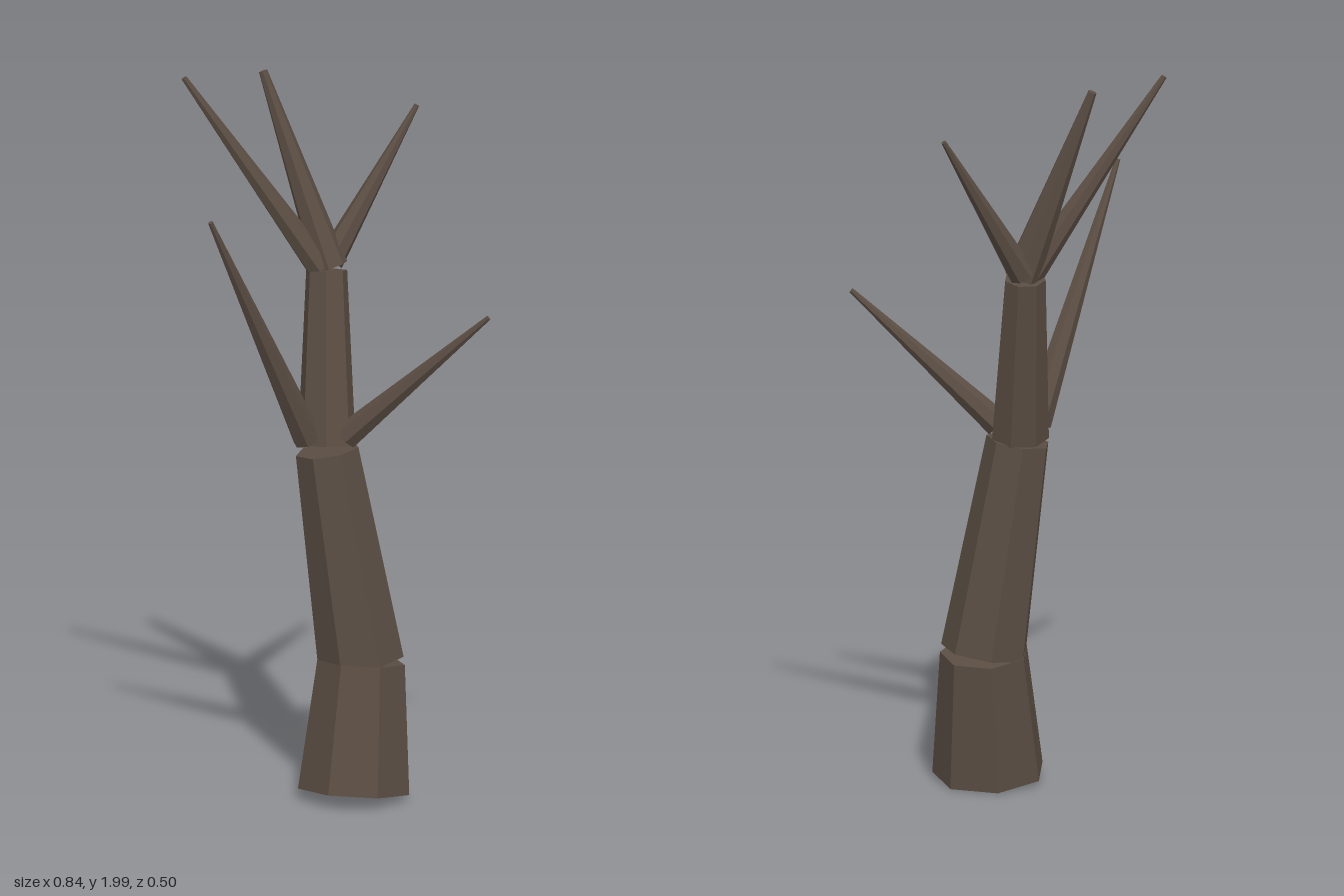
import * as THREE from 'three';

const SIDES = 7;
const UP = new THREE.Vector3(0, 1, 0);

// Tapered, capped limb running from one point to another
function limb(name, material, from, to, r0, r1, roll = 0) {
  const a = new THREE.Vector3(...from);
  const b = new THREE.Vector3(...to);
  const dir = b.clone().sub(a);
  const geometry = new THREE.CylinderGeometry(r1, r0, dir.length(), SIDES, 1, false, roll);
  const mesh = new THREE.Mesh(geometry, material);
  mesh.name = name;
  mesh.position.copy(a).add(b).multiplyScalar(0.5);
  mesh.quaternion.setFromUnitVectors(UP, dir.normalize());
  return mesh;
}

export function createModel() {
  const tree = new THREE.Group();
  tree.name = 'bareTree';
  const bark = new THREE.MeshStandardMaterial({ color: 0x5a4d43, flatShading: true });
  bark.name = 'bark';

  // Trunk: three leaning sections
  const trunk = new THREE.Group();
  trunk.name = 'trunk';
  trunk.add(
    limb('trunkBase', bark, [0.048, 0.025, 0.026], [0.067, 0.375, -0.018], 0.155, 0.122, Math.PI),
    limb('trunkMiddle', bark, [0.067, 0.377, -0.018], [-0.025, 0.967, -0.02], 0.12, 0.088, Math.PI),
    limb('trunkTop', bark, [-0.027, 0.98, -0.026], [-0.029, 1.447, -0.11], 0.08, 0.057),
  );
  tree.add(trunk);

  // Branches: [name, root, tip, root radius, tip radius]
  const branches = [
    ['lowerRightBranch', [-0.078, 1.005, 0.008], [-0.336, 1.673, 0.243], 0.041, 0.007],
    ['lowerLeftBranch', [0.028, 1.01, -0.003], [0.415, 1.373, 0.104], 0.038, 0.007],
    ['upperRightBranch', [-0.045, 1.455, -0.1], [-0.415, 1.992, -0.08], 0.038, 0.008],
    ['upperBackBranch', [-0.02, 1.455, -0.112], [-0.203, 1.985, -0.185], 0.05, 0.012],
    ['upperLeftBranch', [-0.02, 1.465, -0.135], [0.213, 1.877, -0.244], 0.038, 0.007],
  ];
  for (const [name, root, tip, r0, r1] of branches) {
    tree.add(limb(name, bark, root, tip, r0, r1));
  }
  return tree;
}
